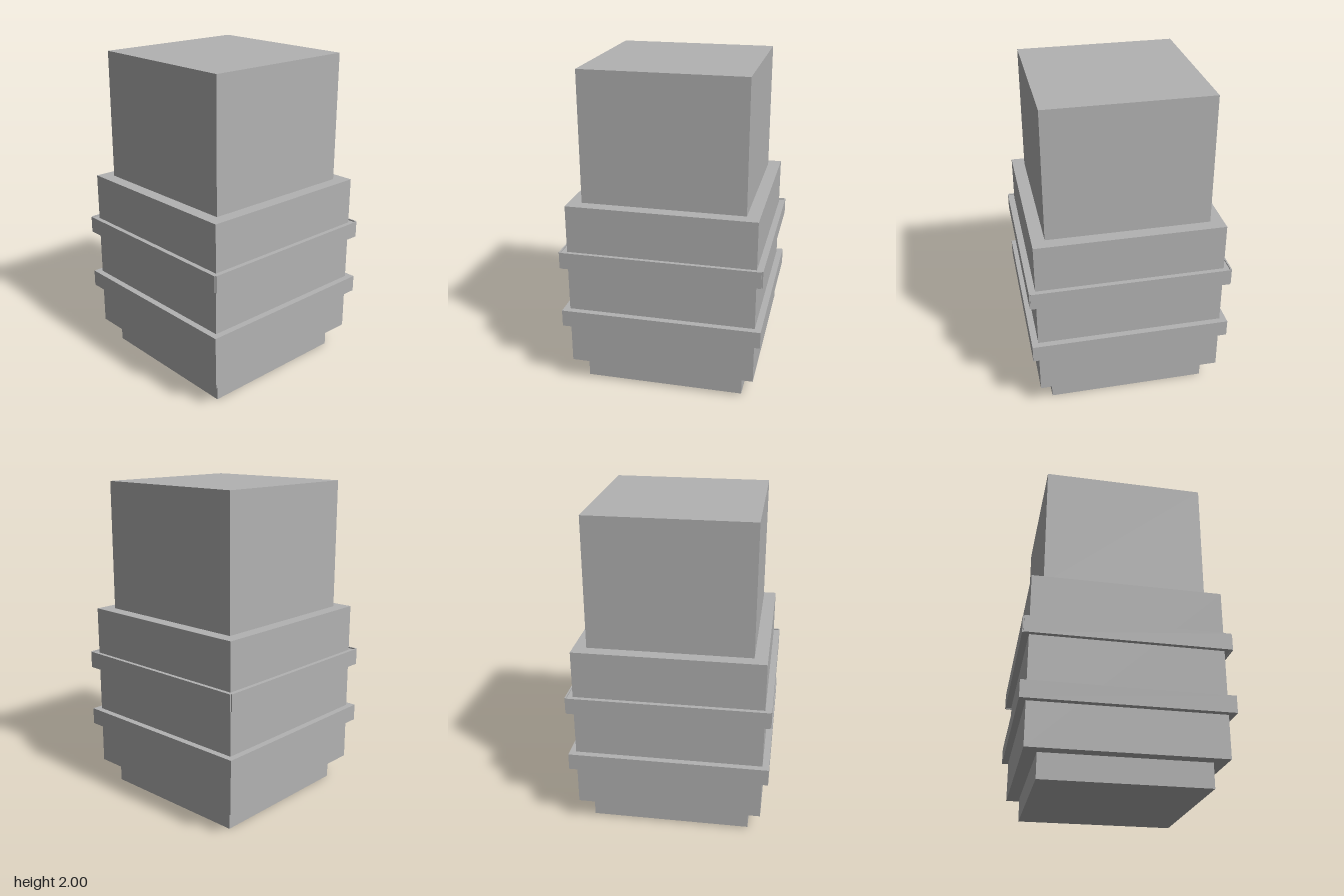
import * as THREE from 'three';

export function createModel() {
  const model = new THREE.Group();
  const grey = new THREE.MeshStandardMaterial({ color: 0xb2b2b2 });
  grey.name = 'grey';

  // Square block of half-width h standing between two heights
  function block(name, h, y0, y1) {
    const mesh = new THREE.Mesh(new THREE.BoxGeometry(2 * h, y1 - y0, 2 * h), grey);
    mesh.position.y = (y0 + y1) / 2;
    mesh.name = name;
    model.add(mesh);
  }

  block('foot', 0.498, 0, 0.15);
  block('body', 0.577, 0.15, 1.197);
  block('topBlock', 0.498, 1.197, 2);
  block('lowerBand', 0.617, 0.412, 0.517);
  block('upperBandCore', 0.61, 0.812, 0.902);

  // Upper band facing: four thin plates with open corners
  const plates = new THREE.Group();
  plates.name = 'upperBandPlates';
  for (let i = 0; i < 4; i++) {
    const side = new THREE.Group();
    side.rotation.y = i * Math.PI / 2;
    const plate = new THREE.Mesh(new THREE.BoxGeometry(1.22, 0.104, 0.009), grey);
    plate.position.set(0, 0.858, 0.6135);
    plate.name = 'bandPlate';
    side.add(plate);
    plates.add(side);
  }
  model.add(plates);

  return model;
}
